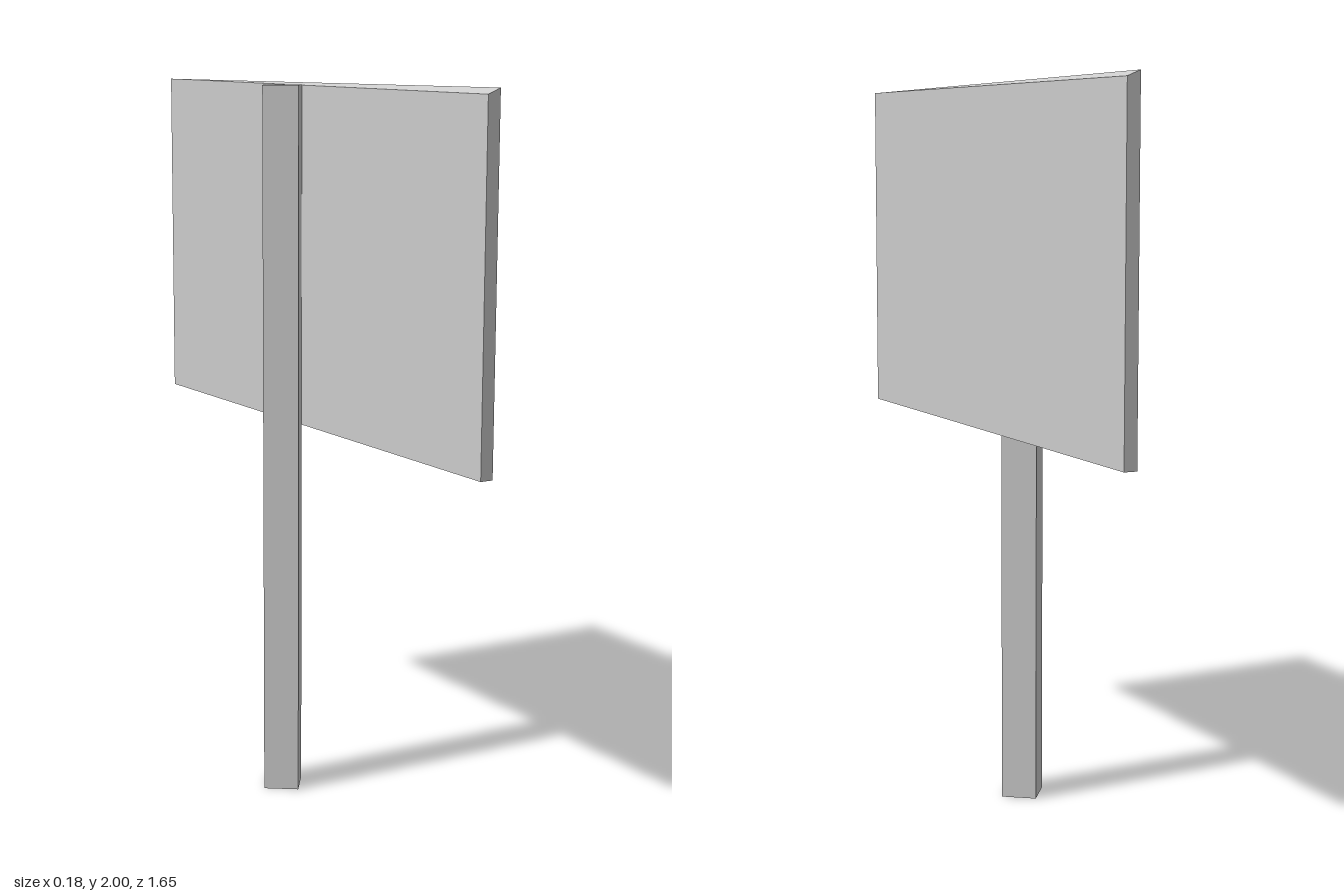
import * as THREE from 'three';
import { toCreasedNormals } from 'three/addons/utils/BufferGeometryUtils.js';

export function createModel() {
  const group = new THREE.Group();
  const material = new THREE.MeshStandardMaterial({ color: 0xcccccc, flatShading: true });

  // Square post, turned about its own axis
  const post = new THREE.Mesh(new THREE.BoxGeometry(0.098, 1.995, 0.1), material);
  post.name = 'post';
  post.position.set(-0.021, 0.9975, -0.021);
  post.rotation.y = -0.62;
  group.add(post);

  // Sign board: two opposite top corners dip slightly, leaving a diagonal ridge
  const board = new THREE.BoxGeometry(0.036, 0.95, 1.65);
  const pos = board.attributes.position;
  for (let i = 0; i < pos.count; i++) {
    if (pos.getY(i) > 0 && pos.getX(i) * pos.getZ(i) < 0) pos.setY(i, pos.getY(i) - 0.015);
  }
  // Split the top face along the ridge
  [8, 10, 11, 8, 11, 9].forEach((v, k) => board.index.setX(12 + k, v));
  const sign = new THREE.Mesh(toCreasedNormals(board, 0.1), material);
  sign.name = 'signBoard';
  sign.position.set(0.068, 1.525, 0);
  group.add(sign);

  return group;
}
